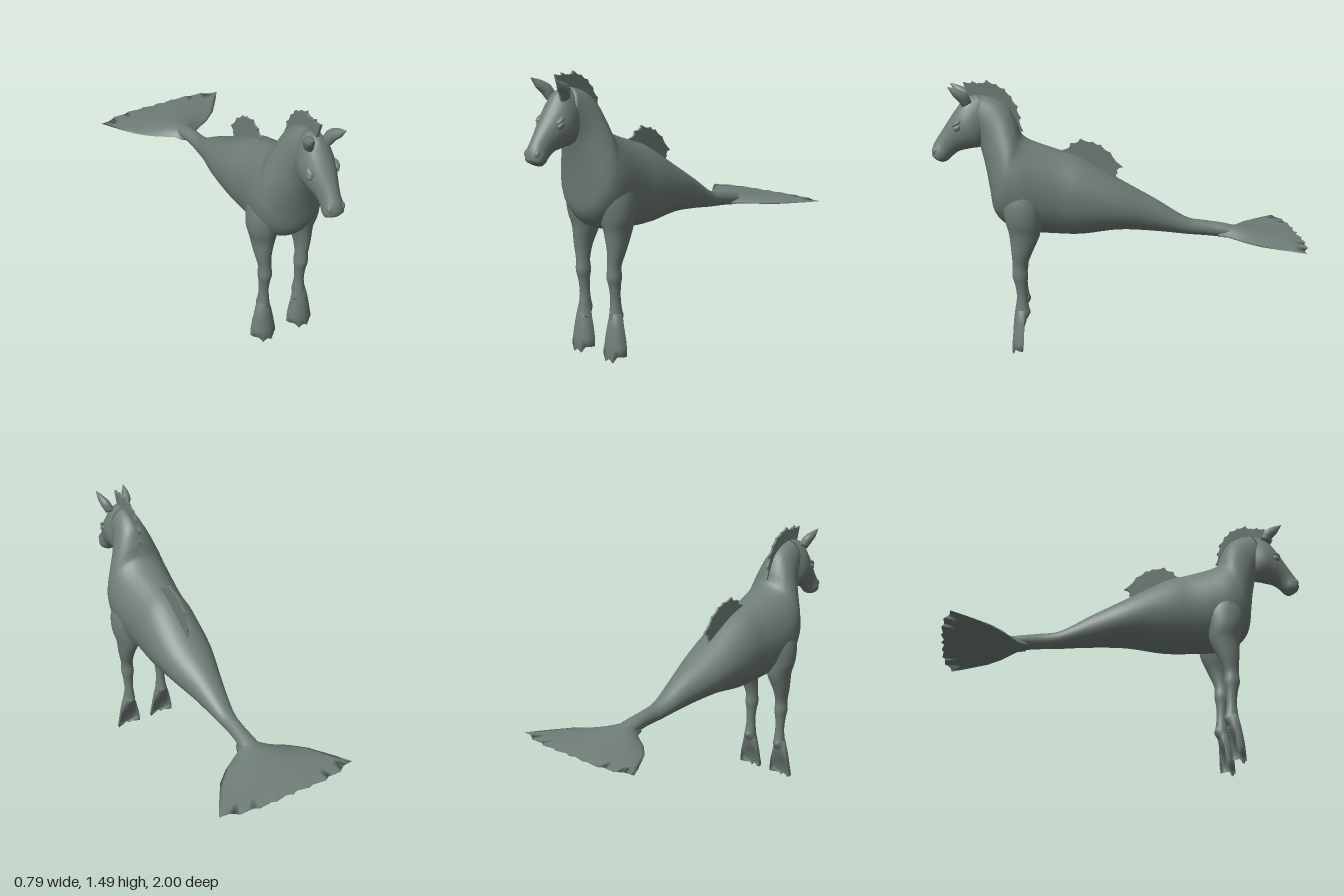
import * as THREE from 'three';

const hide = new THREE.MeshStandardMaterial({ color: 0x6f7d78 });
hide.name = 'greyGreenHide';

// Skin a list of closed rings, closing both ends
function skin(name, rings) {
  const n = rings[0].length;
  const collapse = (ring) => {
    const c = ring.reduce((a, p) => a.add(p), new THREE.Vector3()).divideScalar(n);
    return ring.map(() => c);
  };
  const all = [collapse(rings[0]), ...rings, collapse(rings[rings.length - 1])];
  const index = [];
  for (let i = 0; i < all.length - 1; i++) {
    for (let j = 0; j < n; j++) {
      const a = i * n + j, b = i * n + (j + 1) % n;
      index.push(a, a + n, b, b, a + n, b + n);
    }
  }
  const geo = new THREE.BufferGeometry().setFromPoints(all.flat());
  geo.setIndex(index);
  geo.computeVertexNormals();
  const mesh = new THREE.Mesh(geo, hide);
  mesh.name = name;
  return mesh;
}

// Smooth loft; section = [zTop, yTop, zBottom, yBottom, halfWidth, xCentre]
function loft(name, sections, side = 1, segs = 24, steps = 4) {
  const top = new THREE.CatmullRomCurve3(sections.map((s) => new THREE.Vector3(s[4], s[1], s[0])), false, 'catmullrom', 0.5);
  const bottom = new THREE.CatmullRomCurve3(sections.map((s) => new THREE.Vector3((s[5] || 0) * side, s[3], s[2])), false, 'catmullrom', 0.5);
  const rings = [], count = (sections.length - 1) * steps;
  for (let i = 0; i <= count; i++) {
    const t = top.getPoint(i / count), b = bottom.getPoint(i / count), ring = [];
    for (let j = 0; j < segs; j++) {
      const a = (j / segs) * Math.PI * 2, k = (1 + Math.cos(a)) / 2;
      ring.push(new THREE.Vector3(b.x + t.x * Math.sin(a), b.y + (t.y - b.y) * k, b.z + (t.z - b.z) * k));
    }
    rings.push(ring);
  }
  return skin(name, rings);
}

// Two-faced flipper: point(row, s, face, t), s from -1 to 1 across
function flipper(name, rows, n, point) {
  return skin(name, rows.map((row, i) => {
    const ring = [], t = i / (rows.length - 1);
    for (let j = 0; j < n; j++) ring.push(point(row, -1 + 2 * j / n, 1, t));
    for (let j = 0; j < n; j++) ring.push(point(row, 1 - 2 * j / n, -1, t));
    return ring;
  }));
}

// Upright crest plate in the z-y plane with scallops between the tips
function crest(name, tips, base, thickness) {
  const shape = new THREE.Shape();
  shape.moveTo(...tips[0]);
  const mid = tips.concat(base).reduce((a, p) => [a[0] + p[0], a[1] + p[1]], [0, 0]).map((v) => v / (tips.length + base.length));
  for (let i = 1; i < tips.length; i++) {
    const [a, b] = [tips[i - 1], tips[i]];
    const dip = [0, 1].map((k) => { const m = (a[k] + b[k]) / 2; return m + (mid[k] - m) * 0.2; });
    shape.quadraticCurveTo(dip[0], dip[1], b[0], b[1]);
  }
  base.forEach((p) => shape.lineTo(...p));
  const geo = new THREE.ExtrudeGeometry(shape, { depth: thickness, bevelEnabled: false, curveSegments: 4 });
  geo.rotateY(-Math.PI / 2).translate(thickness / 2, 0, 0);
  const mesh = new THREE.Mesh(geo, hide);
  mesh.name = name;
  return mesh;
}

function bump(name, pos, scale, tilt) {
  const mesh = new THREE.Mesh(new THREE.SphereGeometry(1, 14, 10), hide);
  mesh.position.set(...pos);
  mesh.scale.set(...scale);
  mesh.rotation.x = tilt;
  mesh.name = name;
  return mesh;
}

export function createModel() {
  const model = new THREE.Group();
  model.name = 'seaHorseCreature';

  // Tail, barrel, chest and neck in one sweep
  model.add(loft('bodyAndNeck', [
    [-0.72, 0.665, -0.72, 0.637, 0.05],
    [-0.6, 0.7, -0.6, 0.626, 0.048],
    [-0.48, 0.722, -0.48, 0.637, 0.04],
    [-0.37, 0.745, -0.37, 0.648, 0.052],
    [-0.2, 0.85, -0.2, 0.67, 0.09],
    [0, 0.965, 0, 0.685, 0.145],
    [0.2, 1.085, 0.2, 0.665, 0.165],
    [0.32, 1.13, 0.34, 0.67, 0.167],
    [0.42, 1.165, 0.48, 0.685, 0.182],
    [0.48, 1.19, 0.6, 0.72, 0.192],
    [0.515, 1.215, 0.675, 0.8, 0.185],
    [0.53, 1.245, 0.697, 0.92, 0.168],
    [0.545, 1.29, 0.712, 1.02, 0.143],
    [0.585, 1.365, 0.732, 1.12, 0.108],
    [0.655, 1.415, 0.75, 1.18, 0.085],
    [0.73, 1.435, 0.78, 1.25, 0.068],
  ], 1, 32));

  // Head
  model.add(loft('head', [
    [0.74, 1.435, 0.64, 1.3, 0.05],
    [0.81, 1.42, 0.68, 1.215, 0.075],
    [0.85, 1.375, 0.73, 1.16, 0.088],
    [0.89, 1.32, 0.79, 1.148, 0.078],
    [0.93, 1.26, 0.85, 1.135, 0.06],
    [0.967, 1.205, 0.885, 1.112, 0.05],
    [0.992, 1.16, 0.915, 1.085, 0.054],
    [0.999, 1.12, 0.94, 1.077, 0.046],
    [0.99, 1.1, 0.955, 1.085, 0.022],
  ]));

  // Mane crest and back fin
  model.add(crest('maneCrest', [
    [0.82, 1.5], [0.775, 1.505], [0.74, 1.495], [0.7, 1.51], [0.65, 1.487], [0.605, 1.462], [0.57, 1.42],
    [0.537, 1.365], [0.523, 1.305], [0.512, 1.235],
  ], [[0.6, 1.24], [0.68, 1.37], [0.79, 1.4]], 0.014));
  model.add(crest('backFin', [
    [0.305, 1.13], [0.265, 1.165], [0.21, 1.19], [0.14, 1.172], [0.1, 1.155], [0.045, 1.11], [-0.02, 1.03], [0.008, 0.995], [0, 0.95],
  ], [[0.1, 0.98], [0.28, 1.08]], 0.012));

  // Tail fluke with scalloped trailing edge; row = [halfWidth, zAtEdge, thickness]
  model.add(flipper('tailFluke', [
    [0.045, -0.55, 0.06], [0.067, -0.598, 0.058], [0.19, -0.68, 0.042], [0.265, -0.75, 0.03],
    [0.32, -0.83, 0.019], [0.36, -0.89, 0.011], [0.397, -0.95, 0.003],
  ], 32, ([w, z, h], s, face, t) => new THREE.Vector3(
    -s * face * face * w * 1,
    face > 0 ? 0.637 + h * (1 - s * s) : 0.637 - 0.006 * (1 - s * s) * (1 - t),
    z - t * 0.05 * (1 - s ** 4) + 0.018 * t ** 6 * Math.abs(Math.sin(4 * Math.PI * s)),
  )));

  for (const side of [1, -1]) {
    const label = side > 0 ? 'left' : 'right';

    // Leg from shoulder to fetlock: front point, back point, half width, centre
    model.add(loft(label + 'Leg', [
      [0.6, 0.99, 0.46, 0.99, 0.06, 0.1],
      [0.63, 0.88, 0.42, 0.88, 0.082, 0.112],
      [0.62, 0.78, 0.425, 0.77, 0.082, 0.115],
      [0.6, 0.7, 0.435, 0.69, 0.063, 0.113],
      [0.59, 0.6, 0.475, 0.6, 0.044, 0.118],
      [0.585, 0.52, 0.505, 0.52, 0.034, 0.112],
      [0.588, 0.46, 0.503, 0.46, 0.037, 0.11],
      [0.575, 0.41, 0.51, 0.41, 0.03, 0.11],
      [0.566, 0.34, 0.51, 0.34, 0.026, 0.11],
      [0.57, 0.285, 0.502, 0.28, 0.031, 0.11],
      [0.575, 0.25, 0.495, 0.25, 0.035, 0.111],
      [0.578, 0.21, 0.525, 0.2, 0.042, 0.112],
    ], side));

    // Webbed foot, hollow behind; row = [y, halfWidth, zFront, zEdge, zBack]
    model.add(flipper(label + 'WebbedFoot', [
      [0.27, 0.031, 0.57, 0.54, 0.505], [0.2, 0.05, 0.583, 0.535, 0.52], [0.14, 0.062, 0.592, 0.533, 0.548],
      [0.09, 0.07, 0.597, 0.535, 0.578], [0, 0.075, 0.6, 0.54, 0.592],
    ], 24, ([y, w, zf, ze, zb], s, face, t) => new THREE.Vector3(
      side * 0.114 + s * w,
      y + (t === 1 ? 0.012 + 0.036 * s * s + 0.024 * Math.abs(Math.cos(1.5 * Math.PI * s)) : 0),
      ze + ((face > 0 ? zf : zb) - ze) * Math.sqrt(Math.max(0, 1 - s * s)),
    )));

    // Ear
    model.add(loft(label + 'Ear', [
      [0.775, 1.4, 0.825, 1.375, 0.025, 0.048],
      [0.795, 1.445, 0.845, 1.41, 0.028, 0.063],
      [0.83, 1.468, 0.868, 1.435, 0.021, 0.073],
      [0.865, 1.479, 0.882, 1.46, 0.011, 0.08],
      [0.892, 1.486, 0.894, 1.482, 0.002, 0.085],
    ], side, 14));

    // Eye, brow and nostril
    model.add(bump(label + 'Eye', [side * 0.073, 1.268, 0.855], [0.014, 0.016, 0.022], 0.6));
    model.add(bump(label + 'Brow', [side * 0.07, 1.292, 0.857], [0.016, 0.01, 0.028], 0.6));
    model.add(bump(label + 'Nostril', [side * 0.034, 1.143, 0.976], [0.014, 0.02, 0.014], -0.4));
  }
  return model;
}
